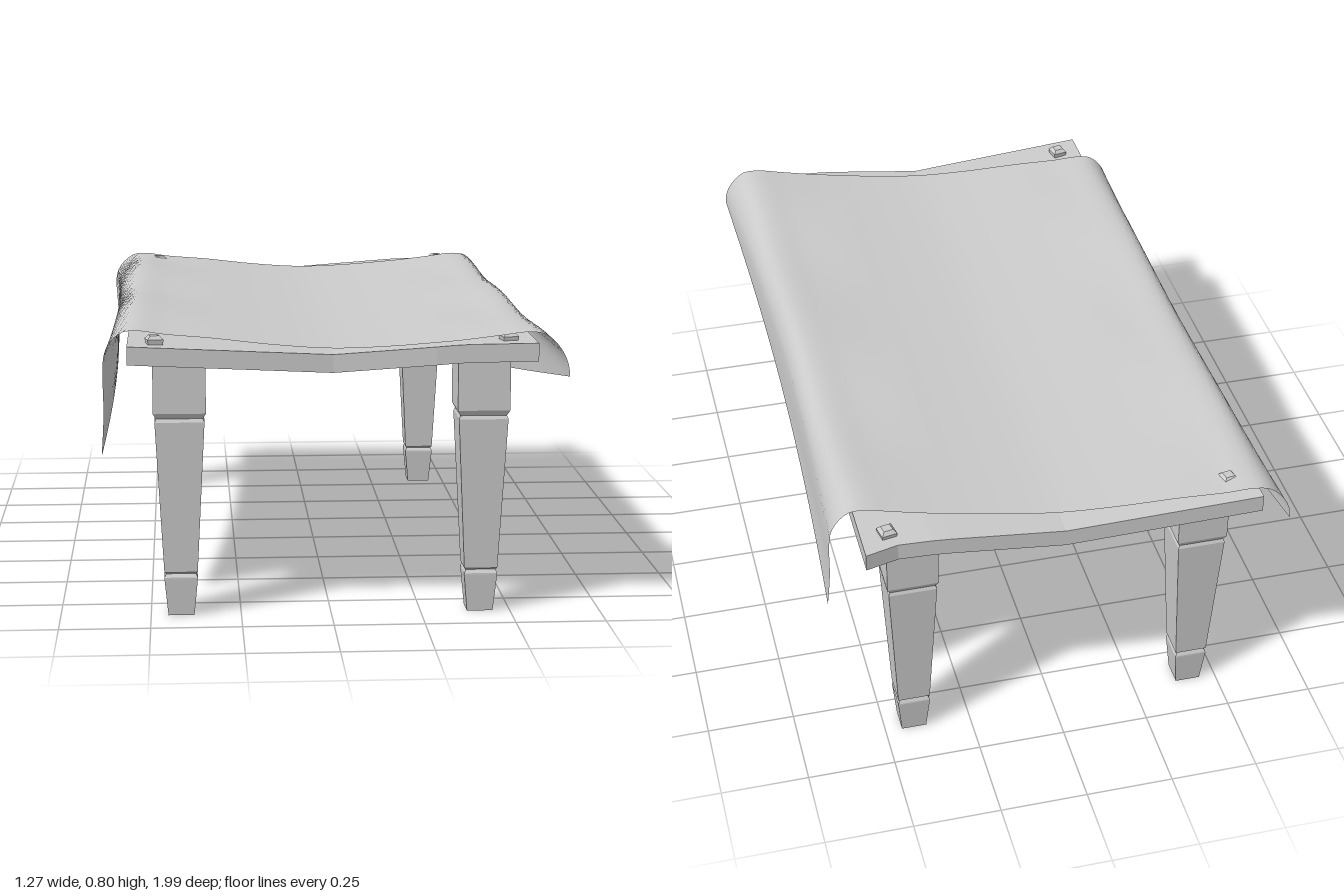
import * as THREE from 'three';

const grey = (opts = {}) => new THREE.MeshStandardMaterial({ color: 0xcccccc, ...opts });

// Piecewise-linear lookup through [x, value] pairs
function lerpTable(table, x) {
  for (let i = 1; i < table.length; i++) {
    const [x0, a] = table[i - 1], [x1, b] = table[i];
    if (x <= x1) return a + (b - a) * THREE.MathUtils.clamp((x - x0) / (x1 - x0), 0, 1);
  }
  return table[table.length - 1][1];
}

// Sagging slab with slightly worn ends
function makeTop() {
  const sag = [[-0.555, 0.72], [0, 0.69], [0.35, 0.718], [0.555, 0.72]];
  const front = [[-0.555, 0.97], [0, 0.945], [0.28, 0.97], [0.555, 0.97]];
  const back = [[-0.555, -0.99], [0.463, -0.95], [0.555, -0.975]];
  const g = new THREE.BoxGeometry(1.11, 0.05, 2, 24, 1, 1);
  const p = g.attributes.position;
  for (let i = 0; i < p.count; i++) {
    const x = p.getX(i);
    p.setY(i, p.getY(i) + 0.025 + lerpTable(sag, x));
    p.setZ(i, lerpTable(p.getZ(i) > 0 ? front : back, x));
  }
  g.computeVertexNormals();
  const mesh = new THREE.Mesh(g, grey({ flatShading: true }));
  mesh.name = 'tableTop';
  return mesh;
}

// Square tapered leg: block, notch, taper, foot
function makeLeg() {
  const halfWidths = [
    [0, 0], [0.036, 0], [0.046, 0.105], [0.046, 0.11], [0.041, 0.12], [0.046, 0.125],
    [0.068, 0.55], [0.064, 0.56], [0.072, 0.575], [0.072, 0.718], [0, 0.718],
  ];
  const profile = halfWidths.map(([w, y]) => new THREE.Vector2(w * Math.SQRT2, y));
  const g = new THREE.LatheGeometry(profile, 4, Math.PI / 4);
  return new THREE.Mesh(g, grey({ flatShading: true }));
}

// Small square peg with a bevelled head
function makePeg() {
  const profile = [[0.02, 0], [0.022, 0.016], [0.013, 0.026], [0, 0.026]]
    .map(([w, y]) => new THREE.Vector2(w * Math.SQRT2, y));
  const g = new THREE.LatheGeometry(profile, 4, Math.PI / 4);
  return new THREE.Mesh(g, grey({ flatShading: true }));
}

// Rectangular cloth laid askew, draped over both long sides
function makeCloth() {
  const skew = 0.14, halfWidth = 0.817, halfLength = 0.9, nx = 96, nz = 40;
  const half = [
    [0.15, 0.757], [0.3, 0.771], [0.45, 0.786], [0.53, 0.796], [0.57, 0.79],
    [0.598, 0.75], [0.606, 0.68], [0.607, 0.55], [0.615, 0.43],
  ];
  const curve = new THREE.CatmullRomCurve3([
    ...half.map(([x, y]) => new THREE.Vector3(-x, y, 0)).reverse(),
    new THREE.Vector3(0, 0.75, 0),
    ...half.map(([x, y]) => new THREE.Vector3(x, y, 0)),
  ], false, 'centripetal');
  curve.arcLengthDivisions = 1000;
  const length = curve.getLength();
  const g = new THREE.PlaneGeometry(2, 2, nx, nz);
  g.rotateX(-Math.PI / 2);
  const p = g.attributes.position;
  for (let i = 0; i < p.count; i++) {
    const b = p.getZ(i);
    const s = p.getX(i) * halfWidth - skew * b * halfLength; // distance across the drape
    const z = b * halfLength + skew * s;
    const pt = curve.getPointAt(THREE.MathUtils.clamp(0.5 + s / length, 0, 1));
    const side = Math.sign(s), d = Math.abs(s);
    // hanging sides flare towards the ends, the rim ripples gently
    const flare = 0.03 * z * z * THREE.MathUtils.smoothstep(d, 0.54, 0.68);
    const rim = THREE.MathUtils.smoothstep(d, 0.3, 0.5) * (1 - THREE.MathUtils.smoothstep(d, 0.56, 0.66));
    p.setXYZ(i, pt.x + side * flare, pt.y + 0.006 * rim * Math.sin(7.5 * z + side), z);
  }
  g.computeVertexNormals();
  const mesh = new THREE.Mesh(g, grey({ side: THREE.DoubleSide }));
  mesh.name = 'cloth';
  return mesh;
}

export function createModel() {
  const group = new THREE.Group();
  group.name = 'tableWithCloth';
  group.add(makeTop(), makeCloth());
  for (const sx of [-1, 1]) {
    for (const sz of [-1, 1]) {
      const place = (sz > 0 ? 'front' : 'back') + (sx > 0 ? 'Left' : 'Right');
      const leg = makeLeg();
      leg.name = place + 'Leg';
      leg.position.set(sx * 0.416, 0, sz * 0.838);
      const peg = makePeg();
      peg.name = place + 'Peg';
      peg.position.set(sx * 0.482, 0.764, sz * 0.897);
      peg.rotation.y = 0.2;
      group.add(leg, peg);
    }
  }
  return group;
}
